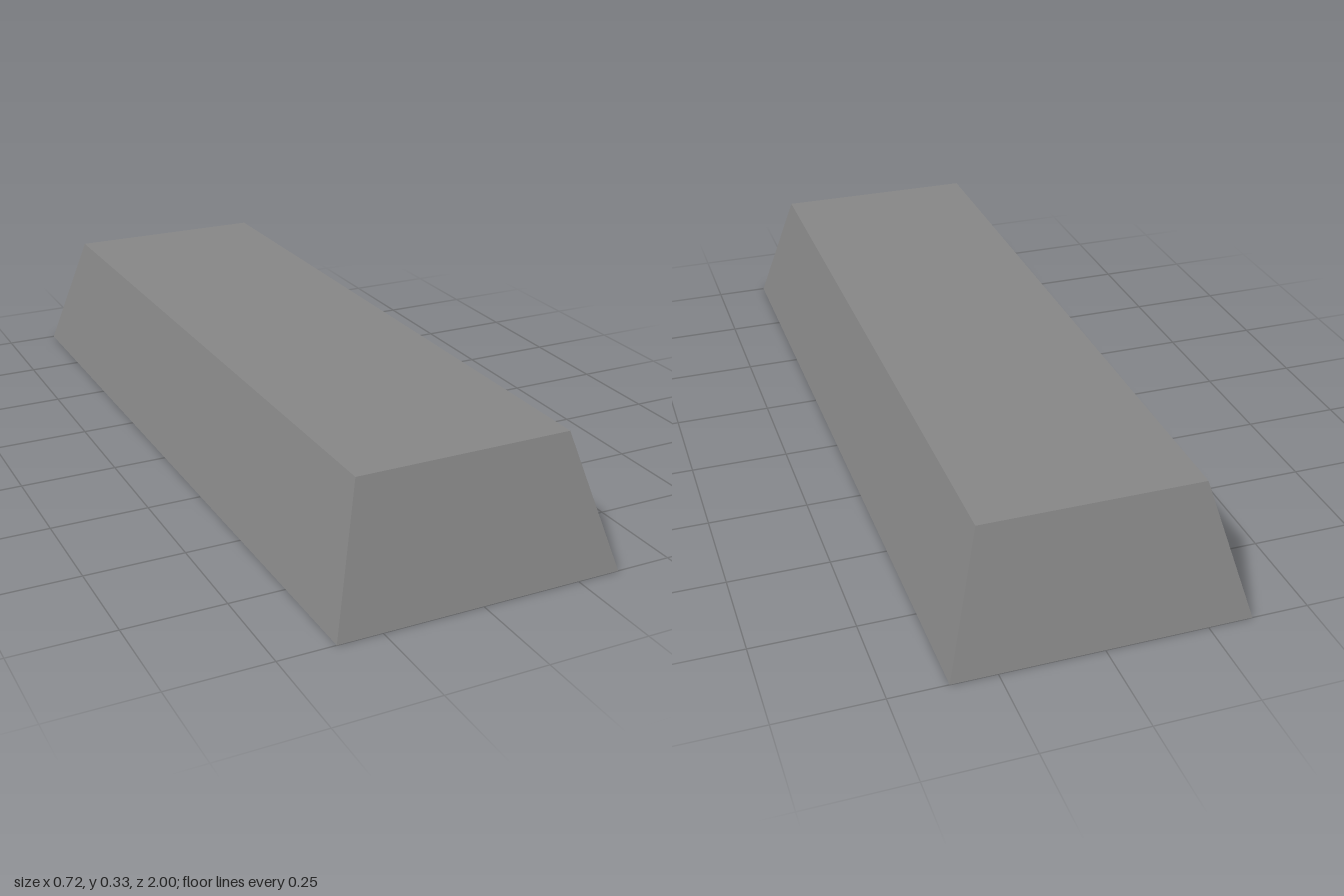
import * as THREE from 'three';

const grey = (options = {}) => new THREE.MeshStandardMaterial({ color: 0x868686, flatShading: true, ...options });

function addPart(group, name, geometry, material) {
  const mesh = new THREE.Mesh(geometry, material);
  mesh.name = name;
  group.add(mesh);
  return mesh;
}

// Box narrowed towards the top and open at the bottom; sizes are half widths (x) and half depths (z)
function taperedShell(base, top, height) {
  const geometry = new THREE.BoxGeometry(2, height, 2).translate(0, height / 2, 0);
  const p = geometry.attributes.position;
  for (let i = 0; i < p.count; i++) {
    const [x, z] = p.getY(i) > height / 2 ? top : base;
    p.setX(i, p.getX(i) * x);
    p.setZ(i, p.getZ(i) * z);
  }
  // drop the bottom face, the fourth of the six sides
  const index = Array.from(geometry.index.array);
  index.splice(18, 6);
  geometry.setIndex(index);
  geometry.clearGroups();
  geometry.computeVertexNormals();
  return geometry;
}

const rectangle = (Type, [x, z]) => new Type([
  new THREE.Vector2(-x, -z), new THREE.Vector2(x, -z),
  new THREE.Vector2(x, z), new THREE.Vector2(-x, z),
]);

export function createModel() {
  const model = new THREE.Group();
  model.name = 'lightFixture';

  const outerBase = [0.36, 1];
  const innerBase = [0.291, 0.935];

  // Housing: outer walls, recess and the flat rim joining them
  const housing = new THREE.Group();
  housing.name = 'housing';
  model.add(housing);
  addPart(housing, 'outerShell', taperedShell(outerBase, [0.27, 0.9], 0.327), grey());
  addPart(housing, 'recess', taperedShell(innerBase, [0.22, 0.82], 0.262), grey({ side: THREE.BackSide }));

  const rim = rectangle(THREE.Shape, outerBase);
  rim.holes.push(rectangle(THREE.Path, innerBase));
  addPart(housing, 'rim', new THREE.ShapeGeometry(rim).rotateX(Math.PI / 2), grey());

  // Lamp tube with rounded ends, lying along the recess
  const tube = new THREE.CapsuleGeometry(0.1, 1.5, 8, 24).rotateX(Math.PI / 2);
  addPart(model, 'lampTube', tube, grey()).position.set(-0.008, 0.107, -0.008);

  return model;
}
